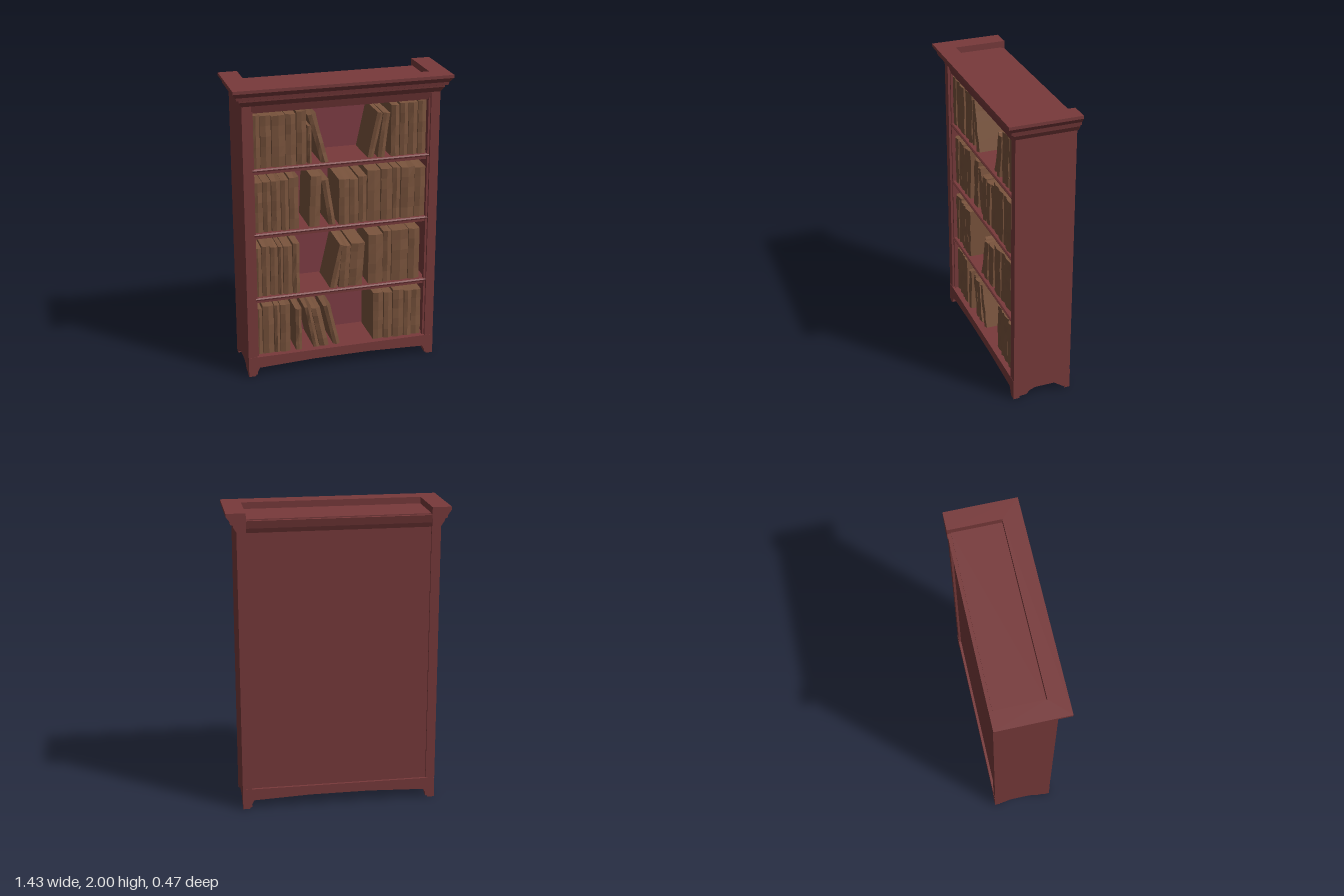
import * as THREE from 'three';

const wood = new THREE.MeshStandardMaterial({ color: 0x783a3b });
wood.name = 'red wood';
const inner = new THREE.MeshStandardMaterial({ color: 0x803d45 });
inner.name = 'inner back wood';
const leather = new THREE.MeshStandardMaterial({ color: 0x7a543d });
leather.name = 'brown leather';

// small seeded generator for the worn books
let seed = 7;
const rand = () => (seed = (seed * 16807) % 2147483647) / 2147483647;

function add(parent, name, geometry, material = wood) {
  const mesh = new THREE.Mesh(geometry, material);
  mesh.name = name;
  parent.add(mesh);
}

// box given by its limits on each axis
function block(x0, x1, y0, y1, z0, z1) {
  return new THREE.BoxGeometry(x1 - x0, y1 - y0, z1 - z0)
    .translate((x0 + x1) / 2, (y0 + y1) / 2, (z0 + z1) / 2);
}

// extrude an [x, y] outline along z
function alongZ(points, z0, z1) {
  const shape = new THREE.Shape(points.map(([x, y]) => new THREE.Vector2(x, y)));
  return new THREE.ExtrudeGeometry(shape, { depth: z1 - z0, bevelEnabled: false }).translate(0, 0, z0);
}

// extrude a [z, y] outline along x
function alongX(points, x0, x1) {
  return alongZ(points.map(([z, y]) => [-z, y]), x0, x1).rotateY(Math.PI / 2);
}

// mitred moulding around the front and both sides, with closed back ends
function crownGeometry() {
  // outline as [distance out from the case, height]
  const profile = [
    [-0.06, 1.88], [0, 1.88], [0.02, 1.913], [0.022, 1.925], [0.038, 1.93],
    [0.042, 1.95], [0.065, 1.98], [0.065, 2], [-0.06, 2],
  ];
  const at = (i, j) => {
    const [d, y] = profile[j % profile.length];
    return [(i < 2 ? -1 : 1) * (0.65 + d), y, i % 3 ? 0.17 + d : -0.235];
  };
  const pos = [];
  for (let i = 0; i < 3; i++) {
    for (let j = 0; j < profile.length; j++) {
      const a = at(i, j), b = at(i + 1, j), c = at(i + 1, j + 1), d = at(i, j + 1);
      pos.push(...a, ...b, ...c, ...a, ...c, ...d);
    }
  }
  const outline = profile.map(([d, y]) => new THREE.Vector2(d, y));
  for (const [a, b, c] of THREE.ShapeUtils.triangulateShape(outline, [])) {
    pos.push(...at(0, a), ...at(0, b), ...at(0, c));
    pos.push(...at(3, a), ...at(3, c), ...at(3, b));
  }
  const geometry = new THREE.BufferGeometry();
  geometry.setAttribute('position', new THREE.Float32BufferAttribute(pos, 3));
  geometry.computeVertexNormals();
  return geometry;
}

// a worn book: the top is shifted sideways by lean, the spine is dented
function bookGeometry(x0, x1, base, height, lean) {
  const front = 0.125 + rand() * 0.015;
  const g = new THREE.BoxGeometry(1, 1, 1, 2, 5, 1);
  const p = g.attributes.position;
  const dents = Array.from({ length: 18 }, () => rand() * 0.008);
  for (let k = 0; k < p.count; k++) {
    const u = p.getX(k) + 0.5, v = p.getY(k) + 0.5, atFront = p.getZ(k) > 0;
    const dent = dents[Math.round(u * 2) + 3 * Math.round(v * 5)];
    const rounding = u > 0.1 && u < 0.9 ? 0.008 : 0;
    const topDrop = v > 0.9 ? u * lean * 0.15 + (atFront ? dent : 0) : 0;
    p.setXYZ(k, x0 + u * (x1 - x0) + v * lean, base + v * height - topDrop,
      atFront ? front + rounding - dent : -0.14);
  }
  const flat = g.toNonIndexed();
  flat.computeVertexNormals();
  return flat;
}

// side by side books of uneven width and height between two edges
function addBooks(row, base, [x0, x1, count, height, lean = 0]) {
  const step = (x1 - x0) / count;
  let left = x0;
  for (let i = 1; i <= count; i++) {
    const right = i === count ? x1 : x0 + step * (i + (rand() - 0.5) * 0.4);
    const tall = height - (count > 1 ? rand() * 0.02 : 0);
    add(row, 'book', bookGeometry(left, right - 0.004, base, tall, lean), leather);
    left = right;
  }
}

export function createModel() {
  const model = new THREE.Group();
  model.name = 'bookcase';

  // side panels with a cut-out between the feet
  const side = [
    [0.17, 0.01], [0.17, 1.89], [-0.225, 1.89], [-0.225, 0.01], [-0.18, 0.015],
    [-0.115, 0.06], [0.02, 0.06], [0.06, 0.045], [0.08, 0.02],
  ];
  add(model, 'rightSide', alongX(side, -0.65, -0.59));
  add(model, 'leftSide', alongX(side, 0.59, 0.65));

  // front and back aprons with shaped feet
  const half = [[0.65, 0.14], [0.65, 0], [0.605, 0], [0.575, 0.06], [0.2, 0.075]];
  const apron = [...half.map(([x, y]) => [-x, y]), ...half.reverse()];
  add(model, 'frontApron', alongZ(apron, 0.13, 0.172));
  add(model, 'backApron', alongZ(apron, -0.227, -0.19));
  add(model, 'floor', block(-0.6, 0.6, 0.075, 0.138, -0.2, 0.14));

  // back board, with a lighter inside face
  add(model, 'backBoard', block(-0.6, 0.6, 0.1, 1.9, -0.21, -0.155));
  add(model, 'innerBack', block(-0.59, 0.59, 0.138, 1.84, -0.155, -0.15), inner);

  // inner bead along both stiles
  for (const x of [-0.585, 0.585]) {
    add(model, 'stileBead', block(x - 0.008, x + 0.008, 0.138, 1.84, 0.125, 0.155));
  }

  // shelves with a moulded nose
  const shelves = [0.565, 1.02, 1.46];
  for (const y of shelves) {
    add(model, 'shelf', block(-0.592, 0.592, y - 0.04, y, -0.155, 0.14));
    add(model, 'shelfNose', alongX([
      [0.13, y], [0.13, y - 0.022], [0.156, y - 0.018], [0.16, y - 0.008], [0.152, y],
    ], -0.592, 0.592));
  }

  // header above the opening
  add(model, 'header', alongX([
    [-0.2, 1.9], [-0.2, 1.85], [0.1, 1.85], [0.12, 1.828], [0.15, 1.828], [0.17, 1.9],
  ], -0.6, 0.6));

  // crown moulding, sunken top panel and curved rail behind it
  add(model, 'crown', crownGeometry());
  add(model, 'topPanel', block(-0.6, 0.6, 1.88, 1.957, -0.21, 0.115));
  add(model, 'backRail', alongX([
    [-0.2, 1.95], [-0.233, 1.95], [-0.222, 1.9], [-0.21, 1.87], [-0.2, 1.87],
  ], -0.6, 0.6));

  // runs of books per shelf: [left edge, right edge, count, height, lean]
  const rows = [
    [[-0.585, -0.35, 4, 0.36], [-0.315, -0.27, 1, 0.31], [-0.19, -0.08, 2, 0.31, -0.06],
      [-0.05, 0, 1, 0.3, -0.07], [0.23, 0.575, 5, 0.36]],
    [[-0.585, -0.28, 6, 0.36], [-0.075, -0.025, 1, 0.31, 0.07], [-0.015, 0.15, 2, 0.315, 0.02],
      [0.19, 0.555, 4, 0.375]],
    [[-0.585, -0.28, 5, 0.36], [-0.215, -0.14, 1, 0.355, 0.015], [-0.08, -0.03, 1, 0.315, -0.05],
      [-0.015, 0.18, 3, 0.325], [0.18, 0.58, 5, 0.36]],
    [[-0.585, -0.225, 5, 0.36], [-0.22, -0.19, 1, 0.255], [-0.135, -0.08, 1, 0.325, -0.085],
      [0.18, 0.225, 1, 0.305, 0.065], [0.245, 0.295, 1, 0.3, 0.035], [0.335, 0.575, 4, 0.365]],
  ];
  rows.forEach((runs, i) => {
    const row = new THREE.Group();
    row.name = 'bookRow';
    runs.forEach((run) => addBooks(row, [0.138, ...shelves][i], run));
    model.add(row);
  });
  return model;
}
